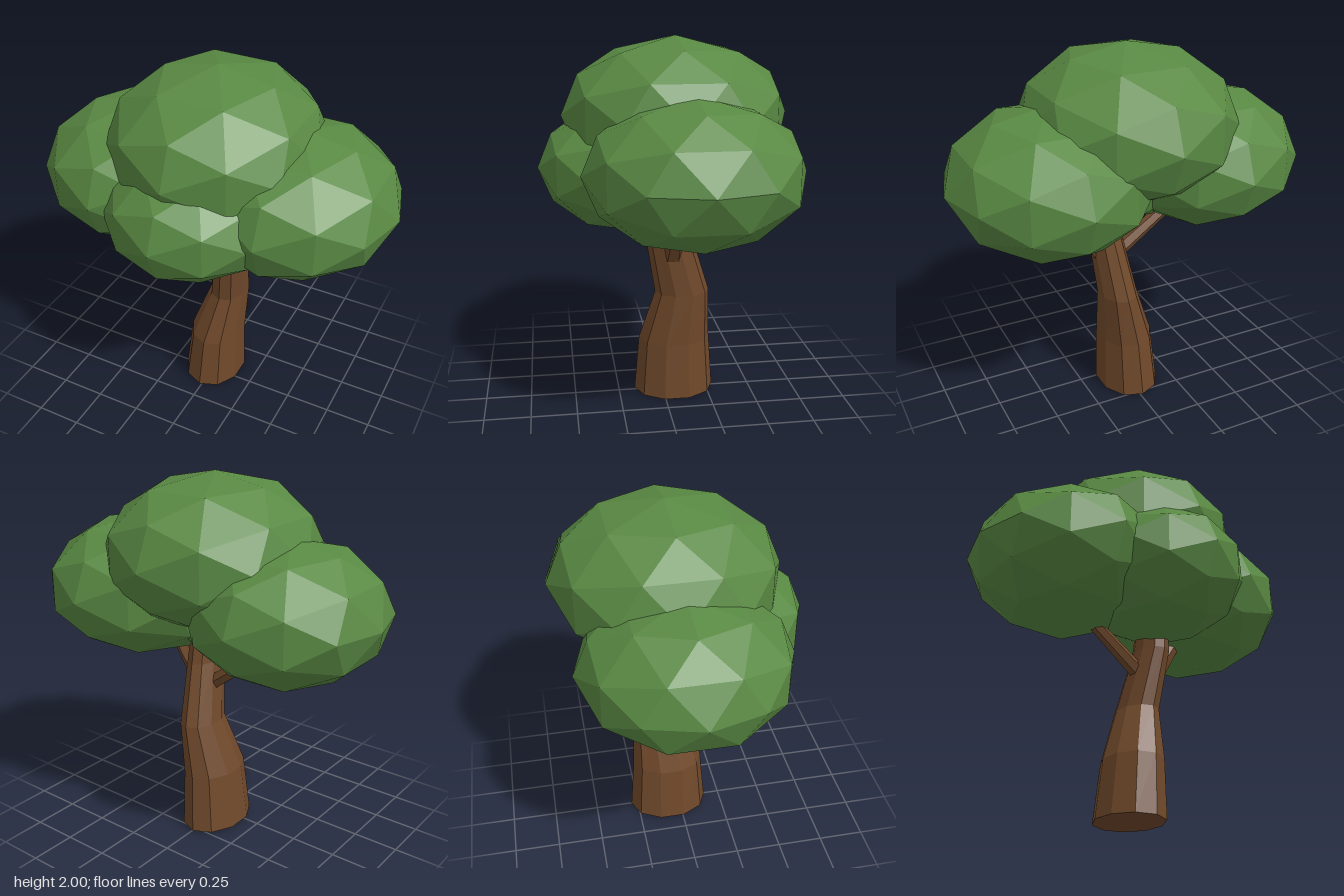
import * as THREE from 'three';

const bark = new THREE.MeshStandardMaterial({ name: 'bark brown', color: 0x70492b, flatShading: true });
const leaf = new THREE.MeshStandardMaterial({ name: 'leaf green', color: 0x598943, flatShading: true });

// Trunk rings from the ground up: centre x, y, z, then half widths in x and z
const RINGS = [
  [-0.01, 0.01, -0.065, 0.17, 0.225],
  [0.008, 0.33, -0.065, 0.148, 0.2],
  [0.063, 0.62, -0.1, 0.103, 0.15],
  [0.1, 0.95, -0.02, 0.086, 0.125],
  [0.1, 1.2, 0.0, 0.07, 0.1],
];

// Leaf clusters: name, centre, radii
const CLUSTERS = [
  ['topFoliage', [-0.005, 1.593, -0.068], [0.57, 0.407, 0.603]],
  ['rightFoliage', [-0.457, 1.343, -0.053], [0.52, 0.372, 0.545]],
  ['leftFoliage', [0.435, 1.36, -0.103], [0.54, 0.38, 0.562]],
  ['frontFoliage', [-0.01, 1.318, 0.163], [0.48, 0.346, 0.502]],
];

// Bent, tapering trunk: each row of a cylinder is moved to its ring
function makeTrunk() {
  const steps = RINGS.length - 1;
  const geometry = new THREE.CylinderGeometry(1, 1, steps, 10, steps);
  const p = geometry.attributes.position;
  for (let i = 0; i < p.count; i++) {
    const [cx, cy, cz, rx, rz] = RINGS[Math.round(p.getY(i) + steps / 2)];
    const dx = p.getX(i) * rx;
    p.setXYZ(i, cx + dx, cy - dx * 0.05, cz + p.getZ(i) * rz);
  }
  geometry.computeVertexNormals();
  const mesh = new THREE.Mesh(geometry, bark);
  mesh.name = 'trunk';
  return mesh;
}

// Tapered limb between two points
function makeBranch(name, from, to, r0, r1) {
  const a = new THREE.Vector3(...from);
  const b = new THREE.Vector3(...to);
  const mesh = new THREE.Mesh(new THREE.CylinderGeometry(r1, r0, a.distanceTo(b), 6), bark);
  mesh.name = name;
  mesh.position.copy(a).add(b).multiplyScalar(0.5);
  mesh.quaternion.setFromUnitVectors(new THREE.Vector3(0, 1, 0), b.sub(a).normalize());
  return mesh;
}

export function createModel() {
  const tree = new THREE.Group();
  tree.name = 'tree';

  tree.add(makeTrunk());
  tree.add(makeBranch('rightBranch', [0.07, 0.805, -0.04], [-0.42, 1.16, -0.06], 0.046, 0.03));
  tree.add(makeBranch('leftBranch', [0.13, 0.85, -0.035], [0.37, 1.2, -0.05], 0.06, 0.035));

  // Faceted leaf clusters
  for (const [name, centre, radii] of CLUSTERS) {
    const mesh = new THREE.Mesh(new THREE.IcosahedronGeometry(1, 1), leaf);
    mesh.name = name;
    mesh.position.set(...centre);
    mesh.scale.set(...radii);
    tree.add(mesh);
  }
  return tree;
}
